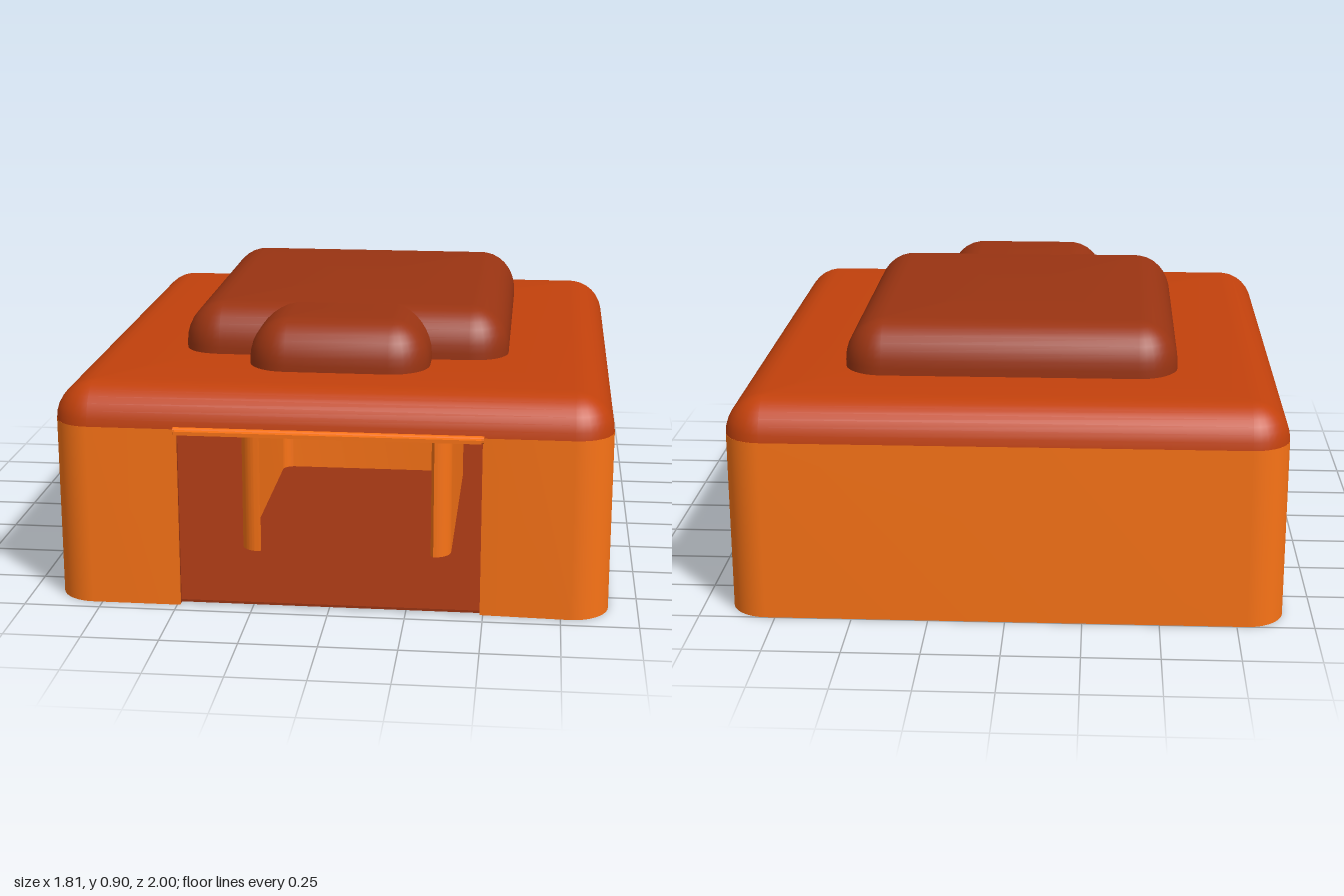
import * as THREE from 'three';
import { toCreasedNormals } from 'three/addons/utils/BufferGeometryUtils.js';

const paint = (color) => new THREE.MeshStandardMaterial({ color, side: THREE.DoubleSide });
const ORANGE = paint(0xf97316), RED = paint(0xc2410c), BROWN = paint(0x9a3412);

// Corner arcs of a rounded rectangle in plan, counter-clockwise from the front left corner
function corners(hw, z0, z1, r) {
  const x = hw - r;
  return [[x, z1 - r, -0.5], [x, z0 + r, 0], [-x, z0 + r, 0.5], [-x, z1 - r, 1]]
    .map(([cx, cz, a]) => ({ x: cx, y: -cz, r, a: a * Math.PI }));
}

function add(parent, name, geometry, material) {
  const mesh = new THREE.Mesh(toCreasedNormals(geometry, 0.6), material);
  mesh.name = name;
  parent.add(mesh);
  return mesh;
}

// Upright extrusion of a plan shape
function raise(shape, y0, y1) {
  const g = new THREE.ExtrudeGeometry(shape, { depth: y1 - y0, bevelEnabled: false, curveSegments: 10 });
  return g.rotateX(-Math.PI / 2).translate(0, y0, 0);
}

// Flat rounded slab
function slab(hw, z0, z1, r, y0, y1) {
  const s = new THREE.Shape();
  corners(hw, z0, z1, r).forEach((c) => s.absarc(c.x, c.y, c.r, c.a, c.a + Math.PI / 2, false));
  return raise(s, y0, y1);
}

// Thin rounded wall, open at the front across the doorway
function wall(hw, z0, z1, r, t, door, y0, y1) {
  const s = new THREE.Shape();
  s.moveTo(door, -z1);
  corners(hw, z0, z1, r).forEach((c) => s.absarc(c.x, c.y, c.r, c.a, c.a + Math.PI / 2, false));
  s.lineTo(-door, -z1);
  s.lineTo(-door, -z1 + t);
  corners(hw - t, z0 + t, z1 - t, r - t).reverse()
    .forEach((c) => s.absarc(c.x, c.y, c.r, c.a + Math.PI / 2, c.a, true));
  s.lineTo(door, -z1 + t);
  return raise(s, y0, y1);
}

// Soft lid: rounded rectangles stacked along a profile of [inset, height]
function lid(hw, z0, z1, r, profile) {
  const N = 8, count = 4 * (N + 1), pos = [], index = [];
  const zc = (z0 + z1) / 2;
  for (const [inset, y] of profile) {
    for (const c of corners(hw - inset, z0 + inset, z1 - inset, Math.max(r - inset, 0.02))) {
      for (let i = 0; i <= N; i++) {
        const a = c.a + (i / N) * Math.PI / 2;
        pos.push(c.x + c.r * Math.cos(a), y, -(c.y + c.r * Math.sin(a)));
      }
    }
  }
  const last = (profile.length - 1) * count, bottom = profile.length * count, top = bottom + 1;
  pos.push(0, profile[0][1], zc, 0, profile[profile.length - 1][1], zc);
  for (let i = 0; i < count; i++) {
    const j = (i + 1) % count;
    for (let k = 0; k < last; k += count) {
      index.push(k + i, k + j, k + count + j, k + i, k + count + j, k + count + i);
    }
    index.push(bottom, j, i, top, last + i, last + j);
  }
  const g = new THREE.BufferGeometry();
  g.setAttribute('position', new THREE.Float32BufferAttribute(pos, 3));
  g.setIndex(index);
  return g;
}

// Quarter-round edge from y0 up to y1, with a short straight foot
function roundEdge(y0, y1, r, foot = 0) {
  const pts = foot ? [[0, y0]] : [];
  for (let i = 0; i <= 8; i++) {
    const a = (i / 8) * Math.PI / 2;
    pts.push([r * (1 - Math.cos(a)), y0 + foot + (y1 - y0 - foot) * Math.sin(a)]);
  }
  return pts;
}

export function createModel() {
  const model = new THREE.Group();
  model.name = 'shelter';

  // Outer walls with a brown lining
  add(model, 'outerWall', wall(0.905, -1, 0.955, 0.125, 0.012, 0.49, 0, 0.6), ORANGE);
  add(model, 'wallLining', wall(0.893, -0.988, 0.943, 0.113, 0.012, 0.49, 0, 0.598), BROWN);
  add(model, 'floor', slab(0.89, -0.985, 0.94, 0.11, 0.006, 0.014), BROWN);

  // Main roof, slightly domed
  const roofEdge = [...roundEdge(0.6, 0.728, 0.13), [0.3, 0.735], [0.5, 0.74]];
  add(model, 'roof', lid(0.905, -1, 0.955, 0.125, roofEdge), RED);

  // Raised roof cushions
  const cushion = roundEdge(0.74, 0.9, 0.13, 0.02);
  cushion[0][1] = 0.73;
  add(model, 'upperRoof', lid(0.555, -0.69, 0.51, 0.13, cushion), BROWN);
  const porch = roundEdge(0.741, 0.899, 0.13, 0.02);
  add(model, 'porchRoof', lid(0.3, 0.1, 0.735, 0.13, porch), BROWN);

  // Rolled door flap above the doorway
  const flap = add(model, 'doorFlap', new THREE.BoxGeometry(0.975, 0.012, 0.055), ORANGE);
  flap.position.set(0, 0.6, 0.9725);
  const roll = add(model, 'flapRoll', new THREE.CylinderGeometry(0.012, 0.012, 0.99, 12).rotateZ(Math.PI / 2), ORANGE);
  roll.position.set(0, 0.6, 0.97);

  // Inner chamber with its own doorway
  const chamber = new THREE.Group();
  chamber.name = 'innerChamber';
  model.add(chamber);
  add(chamber, 'chamberWall', wall(0.37, -0.53, 0.47, 0.06, 0.015, 0.3, 0.001, 0.51), ORANGE);
  add(chamber, 'chamberFloor', slab(0.37, -0.53, 0.47, 0.06, 0.001, 0.005), ORANGE);
  add(chamber, 'chamberRoof', lid(0.37, -0.53, 0.47, 0.06, roundEdge(0.51, 0.63, 0.06)), BROWN);
  const lintel = add(chamber, 'chamberLintel', new THREE.BoxGeometry(0.6, 0.02, 0.015), ORANGE);
  lintel.position.set(0, 0.5, 0.4625);

  return model;
}
